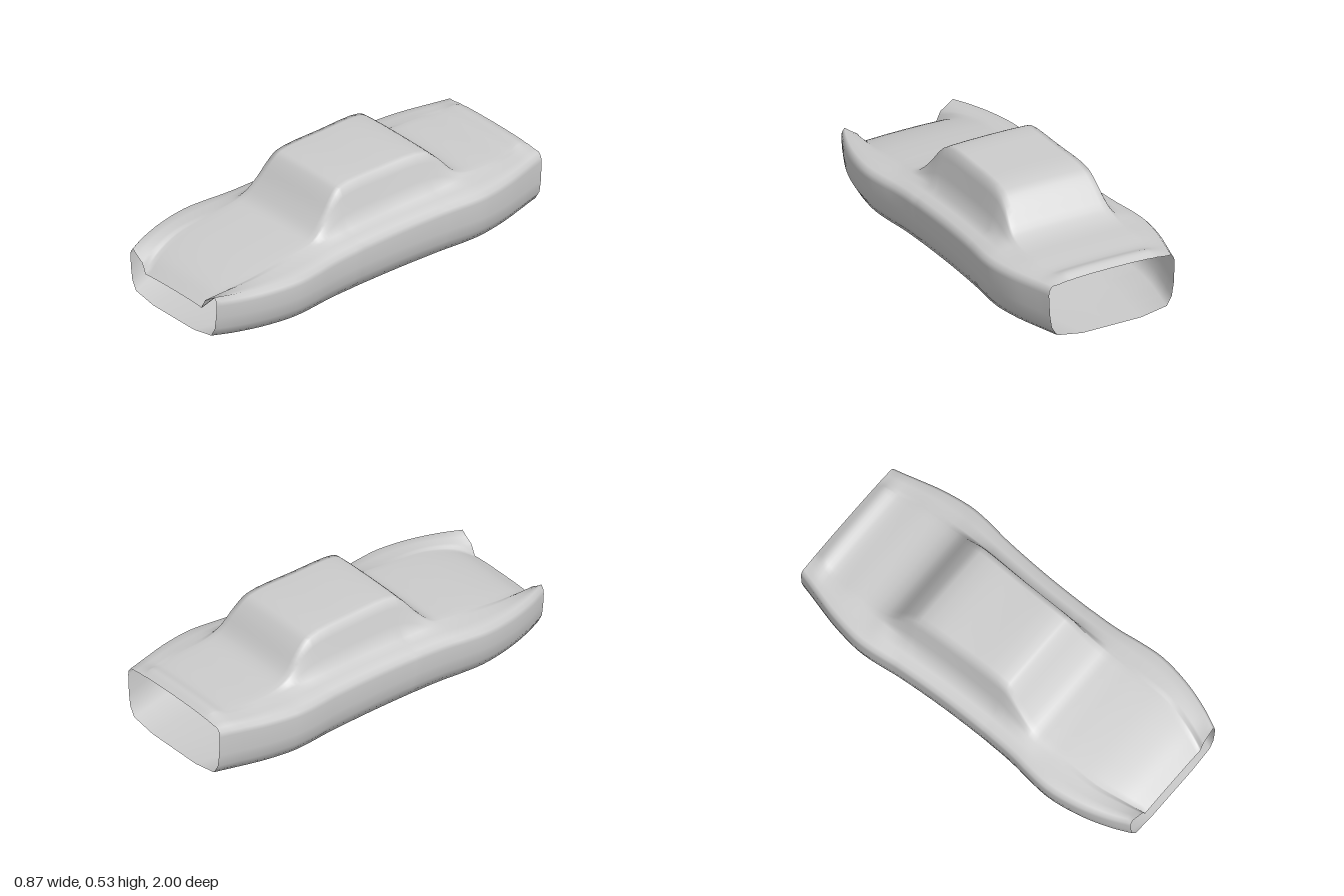
import * as THREE from 'three';

// Stations from nose to tail: z, half width, height of the centre line
const stations = [
  [1.0, 0.315, 0.17],
  [0.9, 0.362, 0.226],
  [0.75, 0.41, 0.266],
  [0.58, 0.435, 0.29],
  [0.45, 0.425, 0.304],
  [0.36, 0.412, 0.322],
  [0.28, 0.405, 0.392],
  [0.2, 0.402, 0.488],
  [0.155, 0.4, 0.521],
  [-0.1, 0.401, 0.53],
  [-0.36, 0.416, 0.516],
  [-0.43, 0.425, 0.466],
  [-0.52, 0.435, 0.37],
  [-0.6, 0.436, 0.336],
  [-0.75, 0.413, 0.327],
  [-0.88, 0.378, 0.322],
  [-0.95, 0.358, 0.341],
  [-1.0, 0.345, 0.322],
];

// Half of a cross-section, from the floor centre up to the roof centre
function halfSection([z, w, top]) {
  const floor = 0.018 * z * z;
  const shoulder = 0.285 - 0.022 * z;
  // cabin foot: blends into the hood and trunk where there is no cabin
  const footX = Math.min(0.302, w * 0.73);
  const footY = Math.min((shoulder + top) / 2, shoulder + 0.028);
  // upper edge: leans inward as the cabin rises
  const rise = THREE.MathUtils.clamp((top - footY) / 0.21, 0, 1);
  const edgeX = footX * (0.89 - 0.095 * rise);
  const edgeY = top - 0.007;
  const wall = (t, s) => [THREE.MathUtils.lerp(footX, edgeX, t), THREE.MathUtils.lerp(footY, edgeY, s)];
  return [
    [0, floor],
    [w * 0.47, floor],
    [w * 0.872, floor + 0.024],
    [w * 0.955, 0.09],
    [w * 0.985, 0.155],
    [w, shoulder - 0.045],
    [w * 0.99, shoulder - 0.02],
    [w * 0.945, shoulder],
    [(w * 0.945 + footX) / 2, (shoulder + footY) / 2 - 0.002],
    [footX, footY],
    wall(0.38, 0.35),
    wall(0.75, 0.75),
    [edgeX, edgeY],
    [edgeX * 0.88, top - 0.004],
    [edgeX * 0.5, top - 0.001],
    [0, top],
  ].map(([x, y]) => new THREE.Vector3(x, y, z));
}

// Full closed ring, mirrored across x = 0
function ring(station) {
  const half = halfSection(station);
  const mirrored = half.slice(1, -1).reverse().map((p) => new THREE.Vector3(-p.x, p.y, p.z));
  return [...half, ...mirrored];
}

// Open-ended shell with smooth lengthwise curves through the stations
function bodyGeometry() {
  const rings = stations.map(ring);
  const n = rings[0].length;
  const steps = (stations.length - 1) * 4;
  const curves = rings[0].map((_, j) => new THREE.CatmullRomCurve3(rings.map((r) => r[j])));
  const positions = [];
  const index = [];
  for (let i = 0; i <= steps; i++) {
    for (const curve of curves) positions.push(...curve.getPoint(i / steps).toArray());
  }
  for (let i = 0; i < steps; i++) {
    for (let j = 0; j < n; j++) {
      const a = i * n + j;
      const b = i * n + ((j + 1) % n);
      index.push(a, a + n, b, b, a + n, b + n);
    }
  }
  const geometry = new THREE.BufferGeometry();
  geometry.setAttribute('position', new THREE.Float32BufferAttribute(positions, 3));
  geometry.setIndex(index);
  geometry.computeVertexNormals();
  return geometry;
}

export function createModel() {
  const paint = new THREE.MeshStandardMaterial({ color: 0xcccccc, side: THREE.DoubleSide });
  paint.name = 'light grey';
  const body = new THREE.Mesh(bodyGeometry(), paint);
  body.name = 'carBodyShell';
  const group = new THREE.Group();
  group.name = 'car';
  group.add(body);
  return group;
}
